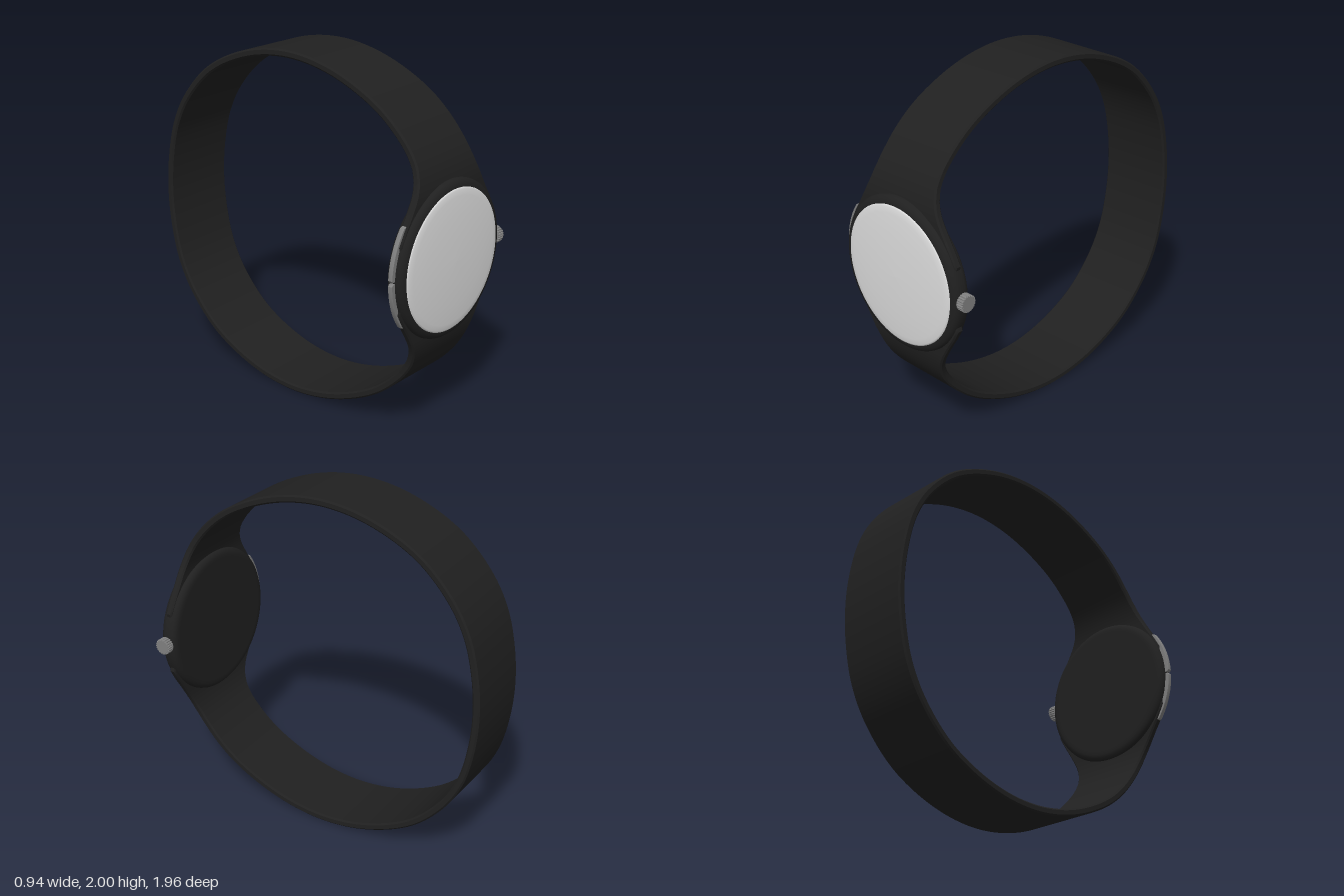
import * as THREE from 'three';
import { toCreasedNormals } from 'three/addons/utils/BufferGeometryUtils.js';

const CX = -0.01, CY = 1.004; // centre of the watch head

function mat(name, color) {
  const m = new THREE.MeshStandardMaterial({ color });
  m.name = name;
  return m;
}

function part(name, geometry, material) {
  const m = new THREE.Mesh(geometry, material);
  m.name = name;
  return m;
}

// Disc-shaped solid turned about the z axis from [radius, z] pairs
function turned(profile) {
  return new THREE.LatheGeometry(profile.map(([r, z]) => new THREE.Vector2(r, z)), 96)
    .rotateX(Math.PI / 2);
}

// Half width of the strap: flares towards the case on the front side
const flare = [[0.15, 0.4], [0.18, 0.41], [0.25, 0.372], [0.325, 0.324], [0.4, 0.281],
  [0.47, 0.25], [0.55, 0.229], [0.63, 0.222]];
function halfWidth(z, y) {
  const d = Math.abs(y - 1);
  if (z < 0 || d >= 0.63) return 0.222;
  for (let i = 1; i < flare.length; i++) {
    const [d0, w0] = flare[i - 1], [d1, w1] = flare[i];
    if (d <= d1) return w0 + (w1 - w0) * (d - d0) / (d1 - d0);
  }
  return 0.222;
}

// Strap: chamfered section swept round the loop, both ends hidden in the case
function strapGeometry() {
  const upper = [[0.926, 0.15], [0.926, 0.3], [0.919, 0.43], [0.878, 0.55], [0.775, 0.687],
    [0.6, 0.828], [0.3, 0.957], [0, 1], [-0.3, 0.957], [-0.6, 0.82], [-0.8, 0.625],
    [-0.905, 0.44], [-0.96, 0.23]];
  const pts = upper.map(([z, d]) => new THREE.Vector3(0, 1 + d, z));
  pts.push(new THREE.Vector3(0, 1, -0.98));
  [...upper].reverse().forEach(([z, d]) => pts.push(new THREE.Vector3(0, 1 - d, z)));
  const curve = new THREE.CatmullRomCurve3(pts, false, 'centripetal');
  const N = 180, T = 0.042, c = 0.009, pos = [], idx = [];
  for (let i = 0; i <= N; i++) {
    const p = curve.getPointAt(i / N), t = curve.getTangentAt(i / N);
    const w = halfWidth(p.z, p.y);
    const ring = [[c - w, 0], [w - c, 0], [w, c], [w, T - c], [w - c, T], [c - w, T], [-w, T - c], [-w, c]];
    for (const [u, v] of ring) pos.push(CX + u, p.y + t.z * v, p.z - t.y * v);
  }
  for (let i = 0; i < N; i++) {
    for (let j = 0; j < 8; j++) {
      const a = i * 8 + j, b = i * 8 + (j + 1) % 8;
      idx.push(a, b, b + 8, a, b + 8, a + 8);
    }
  }
  const g = new THREE.BufferGeometry();
  g.setAttribute('position', new THREE.Float32BufferAttribute(pos, 3));
  g.setIndex(idx);
  return toCreasedNormals(g, 0.6);
}

// Curved side button following the rim of the case
function pusherGeometry() {
  const s = new THREE.Shape();
  const a0 = Math.PI - 0.015, a1 = Math.PI - 0.68;
  s.moveTo(0.42 * Math.cos(a0), 0.42 * Math.sin(a0));
  s.lineTo(0.45 * Math.cos(a0), 0.45 * Math.sin(a0));
  s.absarc(0, 0, 0.457, a0 - 0.02, a1 + 0.05, true);
  s.lineTo(0.44 * Math.cos(a1), 0.44 * Math.sin(a1));
  s.absarc(0, 0, 0.42, a1, a0, false);
  const g = new THREE.ExtrudeGeometry(s, {
    depth: 0.018, curveSegments: 24, bevelSize: 0.002, bevelThickness: 0.004, bevelSegments: 2,
  });
  return toCreasedNormals(g.translate(0, 0, 0.895), 0.6);
}

// Knurled winding crown
function crownGeometry() {
  const s = new THREE.Shape(), teeth = 20;
  for (let i = 0; i < teeth * 4; i++) {
    const a = i / (teeth * 4) * Math.PI * 2, r = i % 4 < 2 ? 0.044 : 0.039;
    if (i === 0) s.moveTo(r, 0);
    else s.lineTo(r * Math.cos(a), r * Math.sin(a));
  }
  s.closePath();
  const g = new THREE.ExtrudeGeometry(s, {
    depth: 0.032, bevelSize: 0.004, bevelThickness: 0.006, bevelSegments: 2,
  });
  return g.rotateY(Math.PI / 2);
}

export function createModel() {
  const black = mat('black', 0x202020);
  const glass = mat('pale glass', 0xdddddd);
  const metal = mat('grey metal', 0x808080);
  const group = new THREE.Group();
  group.name = 'wristwatch';

  group.add(part('strap', strapGeometry(), black));

  const head = new THREE.Group();
  head.name = 'watchHead';
  head.position.set(CX, CY, 0);
  group.add(head);

  head.add(part('case', turned([[0, 0.852], [0.38, 0.852], [0.4, 0.853], [0.417, 0.858], [0.43, 0.87],
    [0.435, 0.888], [0.435, 0.915], [0.43, 0.935], [0.418, 0.948], [0.4, 0.955], [0.385, 0.956]]), black));
  head.add(part('glass', turned([[0.392, 0.95], [0.391, 0.957], [0.382, 0.962], [0.35, 0.967],
    [0.25, 0.974], [0.12, 0.979], [0, 0.98]]), glass));

  // Crown with its stem on the left side
  const crown = part('crown', crownGeometry(), metal);
  crown.position.set(0.439, 0, 0.907);
  head.add(crown);
  const stem = part('crownStem', new THREE.CylinderGeometry(0.025, 0.025, 0.06, 20).rotateZ(Math.PI / 2), metal);
  stem.position.set(0.425, 0, 0.907);
  head.add(stem);

  // Pair of side buttons; the lower one is the upper one turned over
  const upper = part('upperButton', pusherGeometry(), metal);
  const lower = part('lowerButton', upper.geometry, metal);
  lower.rotation.x = Math.PI;
  lower.position.z = 2 * 0.904;
  head.add(upper, lower);

  return group;
}
